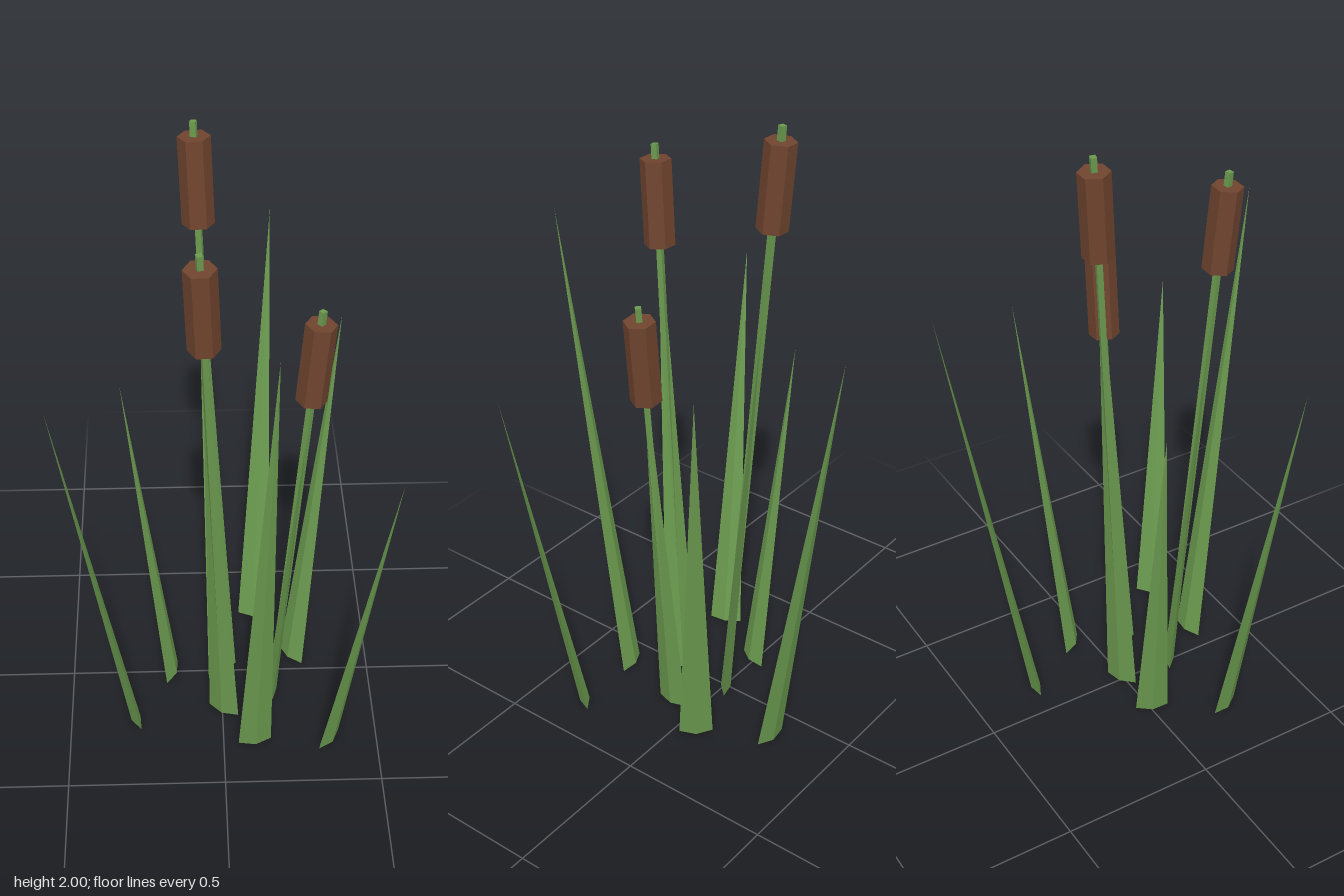
import * as THREE from 'three';

export function createModel() {
  const model = new THREE.Group();
  model.name = 'reedClump';

  const green = new THREE.MeshStandardMaterial({ color: 0x6a994e, flatShading: true });
  green.name = 'leafGreen';
  const brown = new THREE.MeshStandardMaterial({ color: 0x6f442e, flatShading: true });
  brown.name = 'seedHeadBrown';

  const centreX = 0.06, centreZ = 0.09;

  // A group standing on the ground at a given angle and radius, leaning outward
  function leaningGroup(name, degrees, radius, slope) {
    const angle = THREE.MathUtils.degToRad(degrees);
    const turn = new THREE.Group();
    turn.name = name;
    turn.position.set(centreX + radius * Math.cos(angle), 0, centreZ + radius * Math.sin(angle));
    turn.rotation.y = -angle;
    const lean = new THREE.Group();
    lean.name = name + 'Lean';
    lean.rotation.z = -Math.atan(slope);
    turn.add(lean);
    model.add(turn);
    return lean;
  }

  // A mesh rising along its group's axis between two heights
  function rise(group, name, material, rTop, rBottom, sides, from, to, flatten = 1) {
    const geometry = new THREE.CylinderGeometry(rTop, rBottom, to - from, sides);
    geometry.rotateY(Math.PI / 2); // a corner points along the lean
    geometry.scale(flatten, 1, 1);
    geometry.translate(0, (from + to) / 2, 0);
    const mesh = new THREE.Mesh(geometry, material);
    mesh.name = name;
    group.add(mesh);
  }

  const addLeaf = (group, length) => rise(group, 'leaf', green, 0, 0.054, 4, 0, length, 0.3);

  // Cattails: square stem, six-sided seed head, leaf wrapped round the stem
  [[0, 1.515], [120, 1.84], [240, 2.0]].forEach(([degrees, height]) => {
    const group = leaningGroup('cattail', degrees, 0.11, 0.079);
    const length = height * Math.hypot(1, 0.079) - 0.001;
    rise(group, 'stem', green, 0.0125, 0.0125, 4, 0, length);
    rise(group, 'seedHead', brown, 0.048, 0.048, 6, length - 0.315, length - 0.045);
    addLeaf(group, length * 0.9);
  });

  // Inner and outer rings of loose leaves: angle, tip height
  const rings = [
    { radius: 0.24, slope: 0.128, leaves: [[-40, 1.33], [80, 1.65], [200, 1.17]] },
    { radius: 0.37, slope: 0.178, leaves: [[40, 1.17], [160, 1.33], [280, 1.49]] },
  ];
  for (const { radius, slope, leaves } of rings) {
    for (const [degrees, height] of leaves) {
      addLeaf(leaningGroup('looseLeaf', degrees, radius, slope), height * Math.hypot(1, slope));
    }
  }

  return model;
}
